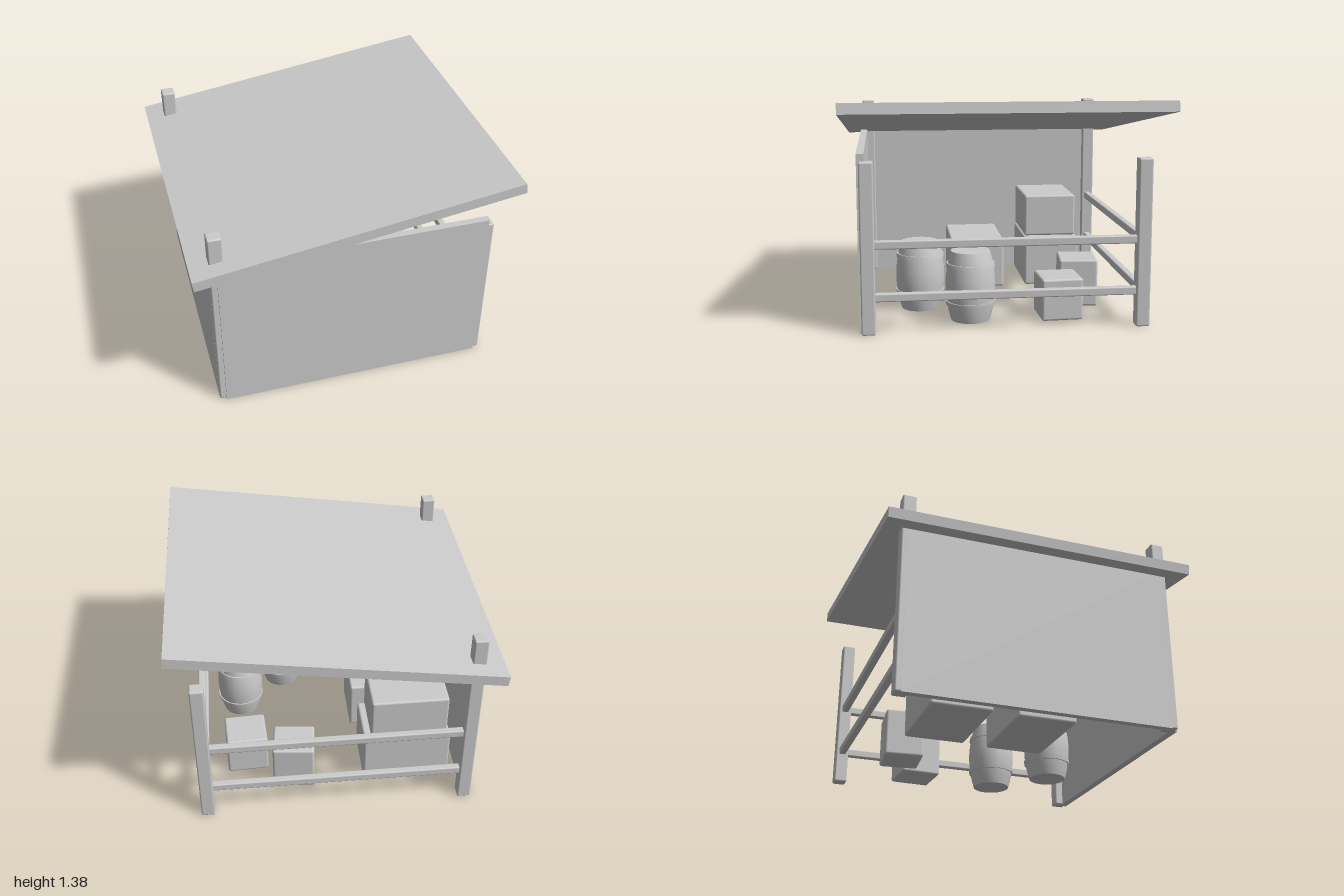
import * as THREE from 'three';
import { RoundedBoxGeometry } from 'three/addons/geometries/RoundedBoxGeometry.js';
import { toCreasedNormals } from 'three/addons/utils/BufferGeometryUtils.js';

const material = new THREE.MeshStandardMaterial({ color: 0xcccccc });

export function createModel() {
  const model = new THREE.Group();
  model.name = 'storageShed';

  const add = (name, geometry, x, y, z) => {
    const mesh = new THREE.Mesh(geometry, material);
    mesh.name = name;
    mesh.position.set(x, y, z);
    model.add(mesh);
    return mesh;
  };
  const beam = (w, h, d, r) => new RoundedBoxGeometry(w, h, d, 2, r);

  // Sloping roof slab
  const roof = add('roof', new THREE.BoxGeometry(2.005, 0.065, 1.965), 0, 1.205, 0);
  roof.rotation.z = Math.atan(0.148);

  // Corner posts: the pair on the low side passes through the roof
  for (const z of [-0.83, 0.83]) {
    add('tallPost', beam(0.085, 1.28, 0.085, 0.01), -0.837, 0.64, z);
    add('shortPost', beam(0.085, 1.035, 0.085, 0.01), 0.83, 0.5175, z);
  }

  // Solid walls on the front and one side
  add('frontWall', new THREE.BoxGeometry(1.67, 1.08, 0.045), -0.005, 0.54, 0.8625);
  add('sideWall', new THREE.BoxGeometry(0.045, 1.08, 1.67), -0.8575, 0.54, 0);

  // Pairs of rails on the two open sides
  for (const y of [0.222, 0.54]) {
    add('sideRail', beam(0.045, 0.05, 1.62, 0.008), 0.83, y, 0);
    add('backRail', beam(1.62, 0.05, 0.045, 0.008), 0, y, -0.83);
  }

  // Barrels: bulging staves with two raised hoops
  const radiusAt = (y) => 0.122 + 0.034 * (1 - ((y - 0.22) / 0.22) ** 2);
  const profile = [new THREE.Vector2(0, 0)];
  for (const y of [0, 0.05, 0.1]) profile.push(new THREE.Vector2(radiusAt(y), y));
  const hoop = (y) => [[0.008, y], [0.008, y + 0.025], [0, y + 0.025]]
    .forEach(([out, h]) => profile.push(new THREE.Vector2(radiusAt(h) + out, h)));
  hoop(0.1);
  for (const y of [0.17, 0.22, 0.27, 0.34]) profile.push(new THREE.Vector2(radiusAt(y), y));
  hoop(0.34);
  for (const y of [0.4, 0.44]) profile.push(new THREE.Vector2(radiusAt(y), y));
  profile.push(new THREE.Vector2(0, 0.44));
  const barrel = toCreasedNormals(new THREE.LatheGeometry(profile, 24), 0.6);
  add('barrel', barrel, 0.58, 0, 0.2);
  add('barrel', barrel, 0.27, 0, 0.5);

  // Crates: width, height, depth, x, base y, z, turn
  const crates = [
    ['smallCrate', 0.27, 0.265, 0.26, 0.56, 0, -0.36, 0.05],
    ['mediumCrate', 0.27, 0.31, 0.25, 0.25, 0, -0.54, -0.1],
    ['longCrate', 0.58, 0.34, 0.37, -0.47, 0, 0.08, 0],
    ['lowerCrate', 0.57, 0.34, 0.38, -0.49, 0, -0.45, 0],
    ['upperCrate', 0.5, 0.29, 0.36, -0.5, 0.345, -0.445, 0],
  ];
  for (const [name, w, h, d, x, y, z, turn] of crates) {
    add(name, beam(w, h, d, 0.015), x, y + h / 2, z).rotation.y = turn;
  }

  return model;
}
